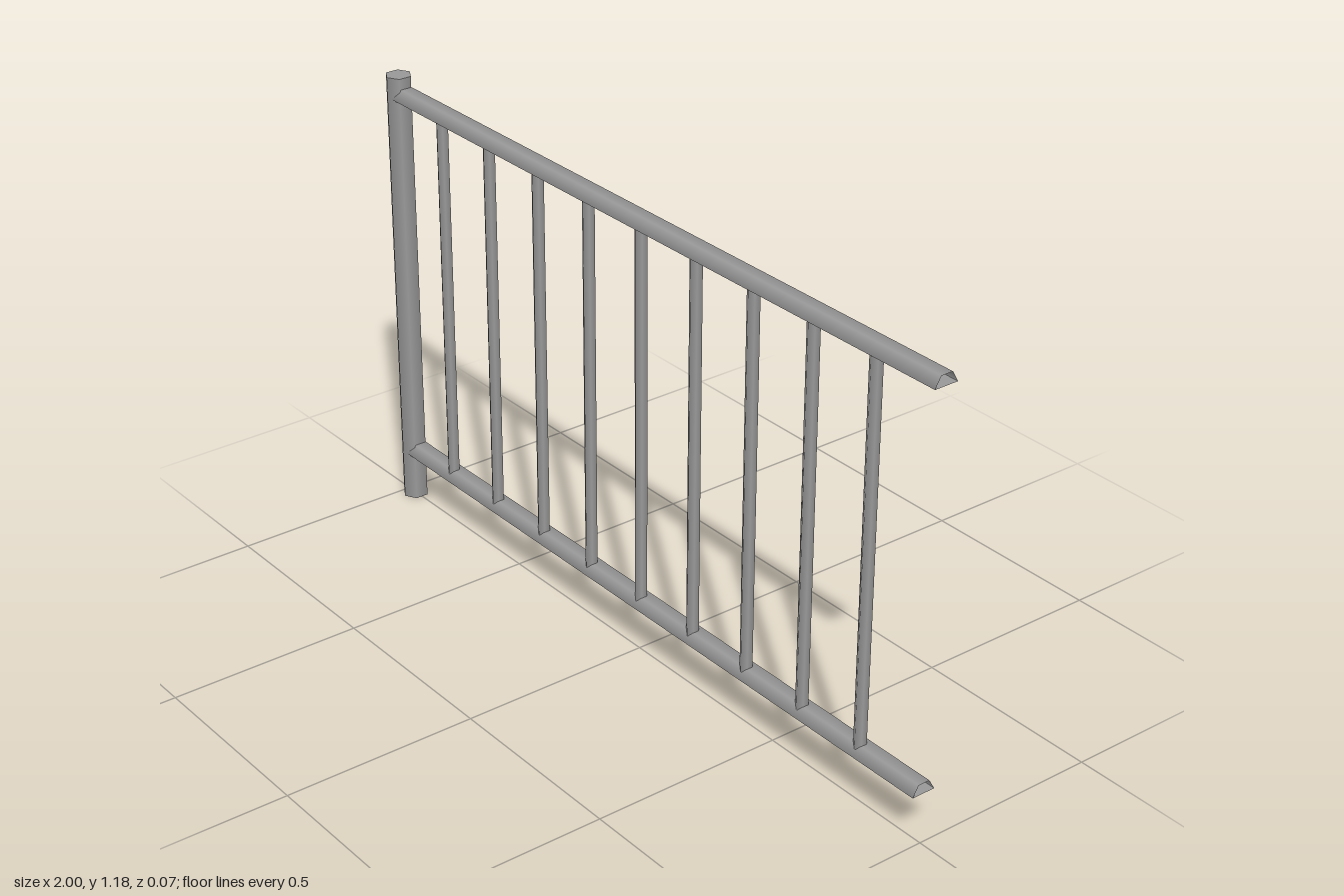
import * as THREE from 'three';

export function createModel() {
  const group = new THREE.Group();
  group.name = 'railing';
  const material = new THREE.MeshStandardMaterial({ color: 0x999999, side: THREE.DoubleSide });

  function add(name, geometry, x, y, z, parent = group) {
    const mesh = new THREE.Mesh(geometry, material);
    mesh.name = name;
    mesh.position.set(x, y, z);
    parent.add(mesh);
  }

  // Six-sided end post: hollow tube closed by a cap on top
  const postRadius = 0.0342, postHeight = 1.183, postX = -0.97;
  add('post', new THREE.CylinderGeometry(postRadius, postRadius, postHeight, 6, 1, true), postX, postHeight / 2, 0);
  const cap = new THREE.CircleGeometry(postRadius, 6, Math.PI / 2).rotateX(-Math.PI / 2);
  add('postCap', cap, postX, postHeight, 0);

  // Rails: half-hexagon section with a flat underside, open at the ends
  const railRadius = 0.0315, railStart = -0.97, railEnd = 1;
  const railLength = railEnd - railStart, railX = (railStart + railEnd) / 2;
  const railTop = new THREE.CylinderGeometry(railRadius, railRadius, railLength, 3, 1, true, Math.PI, Math.PI)
    .rotateZ(-Math.PI / 2);
  const railFloor = new THREE.PlaneGeometry(railLength, railRadius * 2).rotateX(Math.PI / 2);
  for (const [name, y] of [['lowerRail', 0.131], ['upperRail', 1.127]]) {
    const rail = new THREE.Group();
    rail.name = name;
    rail.position.set(railX, y, -0.0025);
    add('railTop', railTop, 0, 0, 0, rail);
    add('railUnderside', railFloor, 0, 0, 0, rail);
    group.add(rail);
  }

  // Evenly spaced balusters, their ends sunk into the rails
  const bottom = 0.144, top = 1.132;
  const baluster = new THREE.CylinderGeometry(0.0158, 0.0158, top - bottom, 6);
  for (let i = 0; i < 9; i++) {
    add('baluster' + (i + 1), baluster, -0.776 + i * 0.197, (top + bottom) / 2, 0.005);
  }

  return group;
}
